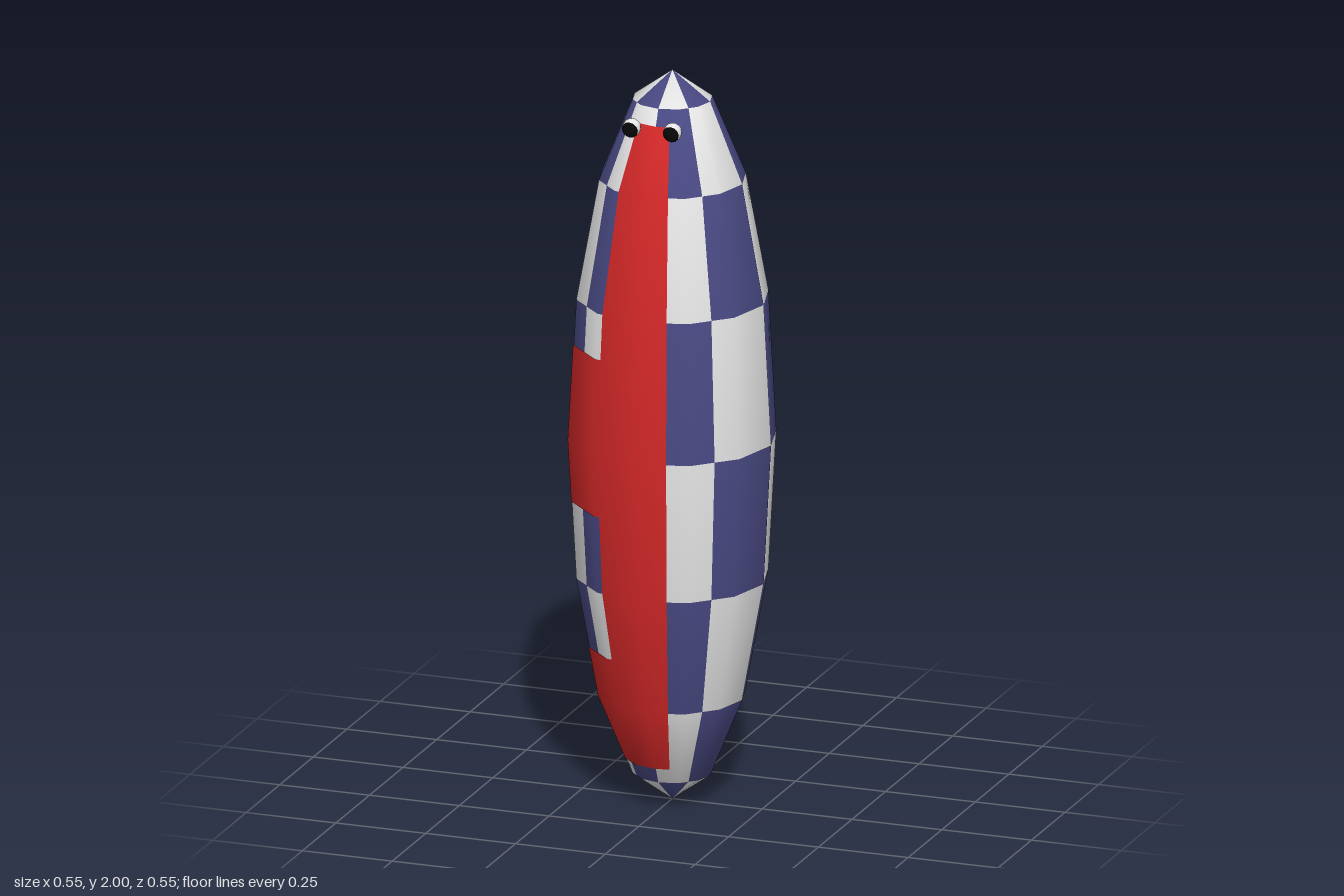
import * as THREE from 'three';
import { mergeGeometries } from 'three/addons/utils/BufferGeometryUtils.js';

const R = 0.275, SIDES = 12, ROWS = 8, STEP = 360 / SIDES;
const rad = THREE.MathUtils.degToRad;
const ringY = Array.from({ length: ROWS + 1 }, (_, k) => 1 - Math.cos(k * Math.PI / ROWS));
const ringR = ringY.map((_, k) => R * Math.sin(k * Math.PI / ROWS));

const material = (name, color) => {
  const m = new THREE.MeshStandardMaterial({ color });
  m.name = name;
  return m;
};

// Radius of the twelve-sided hull at angle a (degrees from +z towards +x) and height y
function hullRadius(a, y) {
  let k = 0;
  while (k < ROWS - 1 && y > ringY[k + 1]) k++;
  const t = (y - ringY[k]) / (ringY[k + 1] - ringY[k]);
  const ring = THREE.MathUtils.lerp(ringR[k], ringR[k + 1], t);
  const local = THREE.MathUtils.euclideanModulo(a, STEP) - STEP / 2;
  return ring * Math.cos(rad(STEP / 2)) / Math.cos(rad(local));
}

// Piece of the hull between two angles and two heights, split at the hull's own edges
function patch(a0, a1, y0, y1, lift = 0) {
  const angles = [a0], ys = [y0];
  for (let a = -360; a <= 360; a += STEP) if (a > a0 + 0.01 && a < a1 - 0.01) angles.push(a);
  for (const y of ringY) if (y > y0 + 1e-4 && y < y1 - 1e-4) ys.push(y);
  angles.push(a1);
  ys.push(y1);
  const pos = [], nor = [], index = [], n = angles.length;
  const p = new THREE.Vector3(), v = new THREE.Vector3();
  ys.forEach((y, j) => angles.forEach((a, i) => {
    const r = hullRadius(a, y), s = Math.sin(rad(a)), c = Math.cos(rad(a));
    const slope = Math.sqrt(Math.max(0, 1 - (y - 1) ** 2)) / R;
    v.set(s * slope, y - 1, c * slope).normalize();
    p.set(s * r, y, c * r).addScaledVector(v, lift);
    pos.push(p.x, p.y, p.z);
    nor.push(v.x, v.y, v.z);
    if (i < n - 1 && j < ys.length - 1) {
      const q = j * n + i;
      index.push(q, q + 1, q + n + 1, q, q + n + 1, q + n);
    }
  }));
  const g = new THREE.BufferGeometry();
  g.setAttribute('position', new THREE.Float32BufferAttribute(pos, 3));
  g.setAttribute('normal', new THREE.Float32BufferAttribute(nor, 3));
  g.setIndex(index);
  return g;
}

export function createModel() {
  const model = new THREE.Group();
  const white = material('white', 0xe9e9e9);
  const blue = material('blue', 0x4a4a85);
  const red = material('red', 0xd42828);
  const black = material('black', 0x080808);

  const add = (name, geometry, mat, parent = model) => {
    const mesh = new THREE.Mesh(geometry, mat);
    mesh.name = name;
    parent.add(mesh);
    return mesh;
  };

  // Chequered body: eight rows of eight panels
  const panels = [[], []];
  for (let row = 0; row < ROWS; row++) {
    for (let s = 0; s < 8; s++) {
      panels[(row + s) % 2].push(patch(s * 45, (s + 1) * 45, ringY[row], ringY[row + 1]));
    }
  }
  add('bluePanels', mergeGeometries(panels[0]), blue);
  add('whitePanels', mergeGeometries(panels[1]), white);

  // Red painted bands: one upright, two wrapping round the side
  add('frontBand', patch(-26, 17, 0.12, 1.88, 0.002), red);
  add('middleBand', patch(-121, -26, 0.83, 1.26, 0.002), red);
  add('lowerBand', patch(-180, -26, 0.12, 0.43, 0.002), red);

  // Eyes with black fronts
  for (const side of [-1, 1]) {
    const eye = new THREE.Group();
    eye.name = side > 0 ? 'leftEye' : 'rightEye';
    eye.position.set(side * 0.057, 1.88, 0.151);
    add('eyeball', new THREE.SphereGeometry(0.025, 12, 8), white, eye);
    const pupil = new THREE.SphereGeometry(0.0265, 12, 4, 0, Math.PI * 2, 0, rad(58));
    add('pupil', pupil.rotateX(rad(100)), black, eye);
    model.add(eye);
  }
  return model;
}
